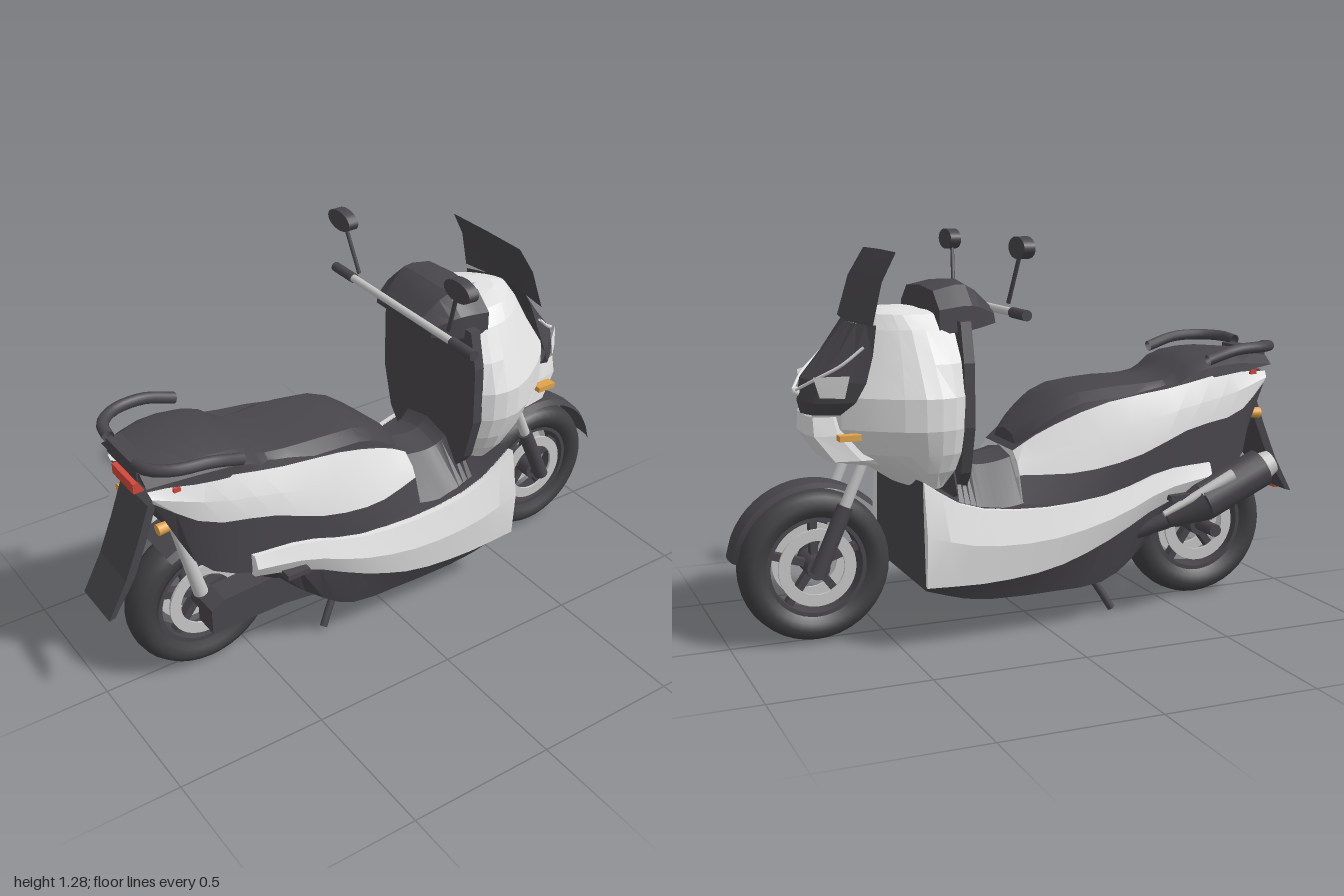
import * as THREE from 'three';
import { toCreasedNormals } from 'three/addons/utils/BufferGeometryUtils.js';

const mat = (name, color) => Object.assign(new THREE.MeshStandardMaterial({ color, side: THREE.DoubleSide }), { name });
const dark = mat('dark plastic', 0x48464b), silver = mat('silver paint', 0xe2e2e2);
const rubber = mat('tyre rubber', 0x403f42), chrome = mat('brushed metal', 0xc8c8c8);
const lamp = mat('lamp lens', 0xffffff), amber = mat('amber lens', 0xdfa24a), red = mat('red lens', 0xd0483c);

const V = p => new THREE.Vector3(...p);

export function createModel() {
  const root = new THREE.Group();
  const add = (name, geo, material, parent = root) => {
    const m = new THREE.Mesh(geo, material);
    m.name = name;
    parent.add(m);
    return m;
  };

  // Surface through a set of curves on the +z half, mirrored to -z
  function skin(name, curves, material, { n = 12, cap = false, crease = 0.3 } = {}) {
    const rows = curves.map(c => {
      const path = new THREE.CatmullRomCurve3(c.map(V), false, 'centripetal');
      return Array.from({ length: n + 1 }, (_, i) => path.getPoint(i / n));
    });
    const pos = [];
    const tri = (a, b, c) => {
      for (const p of [a, b, c]) pos.push(p.x, p.y, p.z);
      for (const p of [a, c, b]) pos.push(p.x, p.y, -p.z);
    };
    for (let r = 0; r + 1 < rows.length; r++) for (let i = 0; i < n; i++) {
      const [a, b, c, d] = [rows[r][i], rows[r + 1][i], rows[r + 1][i + 1], rows[r][i + 1]];
      tri(a, b, c);
      tri(a, c, d);
    }
    if (cap) for (let r = 1; r + 1 < rows.length; r++) {
      tri(rows[0][0], rows[r + 1][0], rows[r][0]);
      tri(rows[0][n], rows[r][n], rows[r + 1][n]);
    }
    const g = new THREE.BufferGeometry();
    g.setAttribute('position', new THREE.Float32BufferAttribute(pos, 3));
    return add(name, toCreasedNormals(g, crease), material);
  }
  const tube = (name, pts, r, material) => add(name,
    new THREE.TubeGeometry(new THREE.CatmullRomCurve3(pts.map(V)), 14, r, 10), material);
  function rod(name, a, b, r1, r2, material, sides = 14) {
    const A = V(a), B = V(b), d = B.clone().sub(A);
    const m = add(name, new THREE.CylinderGeometry(r2, r1, d.length(), sides), material);
    m.position.copy(A).add(B).multiplyScalar(0.5);
    m.quaternion.setFromUnitVectors(new THREE.Vector3(0, 1, 0), d.normalize());
    return m;
  }
  const box = (name, size, at, material) => add(name, new THREE.BoxGeometry(...size).translate(...at), material);
  // Side-profile plate extruded along z
  function plate(name, pts, z0, z1, material) {
    const g = new THREE.ExtrudeGeometry(new THREE.Shape(pts.map(p => new THREE.Vector2(...p))), { depth: z1 - z0, bevelEnabled: false });
    return add(name, g.translate(0, 0, z0), material);
  }

  // Wheels: tyre, rim, spokes, hub and brake discs
  function wheel(name, x, y, s) {
    const w = new THREE.Group();
    w.name = name;
    const lathe = pts => new THREE.LatheGeometry(pts.map(p => new THREE.Vector2(...p)), 40).rotateX(Math.PI / 2);
    add('tyre', lathe([[.165, -.045], [.185, -.06], [.21, -.066], [.234, -.052], [.247, -.025], [.25, 0], [.247, .025],
      [.234, .052], [.21, .066], [.185, .06], [.165, .045], [.165, -.045]]), rubber, w);
    add('rim', toCreasedNormals(lathe([[.152, -.045], [.168, -.045], [.168, .045], [.152, .045], [.152, -.045]]), .5), dark, w);
    add('hub', new THREE.CylinderGeometry(.038, .038, .13, 16).rotateX(Math.PI / 2), dark, w);
    for (let i = 0; i < 5; i++)
      add('spoke', new THREE.BoxGeometry(.13, .024, .035).translate(.095, 0, 0).rotateZ(i * Math.PI * .4 + .3), dark, w);
    const ring = new THREE.Shape().absarc(0, 0, .128, 0, Math.PI * 2);
    ring.holes.push(new THREE.Path().absarc(0, 0, .09, 0, Math.PI * 2, true));
    for (const z of [-.052, .044])
      add('brakeDisc', new THREE.ExtrudeGeometry(ring, { depth: .008, bevelEnabled: false, curveSegments: 24 }).translate(0, 0, z), chrome, w);
    w.scale.set(s, s, 1);
    w.position.set(x, y, 0);
    root.add(w);
  }
  wheel('frontWheel', .725, .25, .98);
  wheel('rearWheel', -.645, .26, 1.03);

  // Mudguards, swept arcs around the wheels
  const arc = (x, r, z, a0, a1) => Array.from({ length: 9 }, (_, i) => {
    const a = a0 + (a1 - a0) * i / 8;
    return [x + r * Math.cos(a), .255 + r * Math.sin(a), z];
  });
  skin('frontMudguard', [[.272, 0], [.268, .045], [.256, .068]].map(([r, z]) => arc(.728, r, z, .14, 2.35)), dark, { n: 18 });
  skin('rearInnerMudguard', [[.285, 0], [.285, .085], [.265, .1]].map(([r, z]) => arc(-.645, r, z, .4, 2.1)), dark, { n: 12 });

  // Tail body: silver upper panels over dark lower panels
  const upperTop = [[-.85, .8, .13], [-.65, .81, .19], [-.45, .775, .2], [-.2, .735, .19], [0, .65, .145], [.09, .59, .12]];
  const upperLow = [[-.84, .76, .14], [-.7, .675, .205], [-.5, .64, .24], [-.3, .565, .25], [-.1, .525, .235], [.09, .52, .18]];
  const lowerLow = [[-.8, .68, .12], [-.72, .51, .19], [-.57, .45, .235], [-.3, .44, .25], [-.1, .43, .25], [.09, .43, .21]];
  const flat = (c, z, dy = 0) => c.map(p => [p[0], p[1] + dy, z]);
  skin('tailSidePanels', [upperTop, upperTop.map((p, i) => [
    (p[0] + upperLow[i][0]) / 2, (p[1] + upperLow[i][1]) / 2, (p[2] + upperLow[i][2]) / 2 + .012]), upperLow], silver);
  skin('tailLowerBody', [upperLow, lowerLow, flat(lowerLow, 0, .02), flat(upperTop, 0), upperTop], dark);
  skin('tailFrontFace', [[[.09, .59, 0], [.09, .59, .12]], [[.09, .43, 0], [.09, .52, .18]]], silver, { n: 1 });

  // Lower silver side panels and dark belly
  const sillTop = [[-.57, .52, .25], [-.4, .51, .265], [-.2, .45, .27], [.05, .425, .27], [.3, .455, .265], [.44, .54, .26]];
  const sillLow = [[-.57, .44, .245], [-.38, .395, .26], [-.2, .308, .275], [0, .235, .282], [.22, .208, .283], [.44, .212, .28]];
  const sillMid = sillTop.map((p, i) => [(p[0] + sillLow[i][0]) / 2, (p[1] + sillLow[i][1]) / 2, (p[2] + sillLow[i][2]) / 2 + .02]);
  const inset = (c, d) => c.map(p => [p[0] - .003, p[1], p[2] - d]);
  skin('sillPanels', [sillTop, sillMid, sillLow, inset(sillLow, .022), inset(sillTop, .022), sillTop], silver, { cap: true });
  const keel = [[-.5, .37, .12], [-.33, .23, .2], [-.2, .15, .22], [0, .135, .225], [.27, .145, .235], [.434, .195, .25]];
  skin('belly', [flat(inset(sillTop, 0), 0, -.02), inset(sillTop, .02), inset(sillLow, .015), keel, flat(keel, 0)], dark, { cap: true });
  skin('floorTunnel', [[[.05, .6, 0], [.14, .575, 0], [.23, .575, 0], [.31, .66, 0]],
    [[.05, .58, .1], [.14, .555, .1], [.23, .555, .1], [.31, .63, .12]],
    [[.05, .44, .2], [.14, .43, .22], [.23, .43, .22], [.31, .44, .22]]], dark);

  // Seat with a raised rear step
  const seatX = [-.86, -.7, -.55, -.46, -.3, -.1, .02, .07];
  const seatTop = [.865, .88, .86, .805, .795, .77, .69, .645];
  const seatLow = [.825, .81, .79, .765, .74, .705, .64, .6];
  const seatZ = [.15, .19, .19, .17, .185, .17, .13, .09];
  const seatRow = (y, k, dy) => seatX.map((x, i) => [x, y[i] + dy, seatZ[i] * k]);
  skin('seat', [seatRow(seatTop, 0, 0), seatRow(seatTop, .75, -.012), seatRow(seatTop, 1, -.04),
    seatRow(seatLow, 1.02, 0), seatRow(seatLow, 0, 0)], dark, { n: 16, cap: true, crease: .45 });

  // Front cowl: horizontal rings [y, back x, back z, wide x, half width, front x]
  const cowl = [[.5, .34, .15, .38, .18, .46], [.56, .31, .19, .4, .225, .55], [.62, .3, .22, .4, .255, .66], [.7, .295, .24, .41, .28, .71],
    [.8, .295, .245, .41, .28, .71], [.9, .295, .22, .42, .235, .65], [1, .305, .175, .43, .18, .6],
    [1.045, .34, .13, .45, .135, .57], [1.06, .4, .05, .47, .06, .52], [1.062, .44, .002, .45, .003, .46]];
  skin('frontCowl', cowl.map(([y, xb, zb, xm, w, xf]) =>
    [[xb, y, 0], [xb, y, zb], [xm, y, w], [xm + .55 * (xf - xm), y, .7 * w], [xf - .01, y, .25 * w], [xf, y, 0]]), silver, { n: 14, crease: .15 });
  skin('noseBeak', [[[.75, .738, 0], [.74, .738, .095], [.6, .738, .11]], [[.755, .68, 0], [.74, .68, .108], [.58, .68, .125]],
    [[.7, .6, 0], [.68, .6, .125], [.5, .6, .135]], [[.61, .565, 0], [.62, .585, .1], [.48, .56, .11]]], silver, { n: 4, crease: .15 });

  // Dark face mask, headlights and trim
  skin('faceMask', [[[.605, 1.02, 0], [.595, 1.02, .09], [.555, 1.02, .17]], [[.685, .93, 0], [.655, .93, .1], [.575, .93, .195]],
    [[.755, .85, 0], [.715, .85, .1], [.6, .85, .205]], [[.765, .78, 0], [.735, .78, .09], [.63, .79, .19]],
    [[.755, .74, 0], [.73, .74, .07], [.66, .745, .125]], [[.7, .74, 0], [.66, .74, .05], [.6, .745, .1]]], dark, { n: 4, crease: .15 });
  skin('headlights', [[[.737, .862, .1], [.645, .872, .185]], [[.722, .8, .12], [.66, .804, .18]]], lamp, { n: 1 });
  add('noseBadge', new THREE.SphereGeometry(.015, 10, 8), lamp).position.set(.765, .807, 0);

  // Windscreen
  skin('windscreen', [[[.49, 1.24, 0], [.49, 1.238, .172]], [[.545, 1.15, 0], [.54, 1.15, .185]], [[.605, 1.02, 0], [.575, 1.02, .2]]], dark, { n: 2 });

  // Leg shield and dashboard
  const shield = [[.14, .46], [.21, .55], [.25, .7], [.248, .9], [.218, 1.025]];
  const outline = [...shield, ...shield.map(([z, y]) => [-z, y]).reverse()];
  const legShield = plate('legShield', outline, 0, .035, dark);
  legShield.rotation.y = Math.PI / 2;
  legShield.position.x = .267;
  skin('dashboard', [[[.15, 1.06, 0], [.24, 1.14, 0], [.36, 1.125, 0]], [[.155, 1.055, .1], [.25, 1.13, .12], [.36, 1.115, .13]],
    [[.165, 1.04, .15], [.25, 1.07, .185], [.36, 1.06, .19]], [[.16, 1.01, .15], [.25, .995, .185], [.36, .985, .19]],
    [[.16, 1.01, 0], [.25, .995, 0], [.36, .985, 0]]], dark, { n: 6, cap: true });

  // Steering, lights, suspension and other paired parts
  rod('handlebar', [.15, 1.053, -.3], [.15, 1.053, .3], .013, .013, chrome);
  for (const s of [1, -1]) {
    rod('grip', [.15, 1.053, s * .27], [.15, 1.053, s * .38], .017, .017, dark);
    rod('mirrorStem', [.155, 1.08, s * .245], [.14, 1.22, s * .295], .007, .007, dark, 8);
    const mirror = add('mirror', new THREE.CylinderGeometry(1, 1, .036, 20).rotateZ(Math.PI / 2), dark);
    mirror.scale.set(1, .034, .063);
    mirror.position.set(.14, 1.252, s * .317);
    tube('maskTrim', [[.597, .955, s * .172], [.66, .9, s * .145], [.725, .855, s * .09], [.77, .815, s * .018]], .005, silver);
    box('frontIndicator', [.07, .018, .036], [.645, .681, s * .165], amber);
    rod('forkTube', [.565, .63, s * .09], [.66, .41, s * .09], .018, .018, chrome);
    rod('forkLeg', [.642, .45, s * .09], [.735, .24, s * .09], .026, .026, dark);
    rod('rearShock', [-.775, .66, s * .125], [-.7, .36, s * .125], .017, .024, chrome);
    rod('rearIndicator', [-.83, .655, s * .13], [-.79, .657, s * .13], .019, .017, amber);
    box('rearSideLamp', [.022, .014, .01], [-.775, .805, s * .172], red);
    tube('grabRail', [[-.86, .882, s * .09], [-.85, .89, s * .15], [-.79, .894, s * .2], [-.68, .89, s * .217], [-.575, .86, s * .212]], .019, dark);
    tube('centreStandLeg', [[-.17, .16, s * .115], [-.21, .11, s * .125], [-.26, .025, s * .145]], .013, dark);
    box('footPeg', [.08, .018, .04], [-.44, .422, s * .275], dark);
  }

  // Tail lamp, rear mudflap and reflector
  box('tailLamp', [.035, .035, .14], [-.85, .782, 0], red);
  box('tailBridge', [.05, .05, .2], [-.84, .85, 0], dark);
  const flap = [[-.835, .72], [-.88, .6], [-.93, .48], [-.998, .355], [-.978, .36], [-.9, .48], [-.85, .6], [-.8, .74]];
  plate('rearMudflap', flap, -.09, .09, dark);
  box('rearReflector', [.014, .008, .04], [-.983, .357, 0], red);

  // Engine and drive case on the left, axles through both sides
  plate('driveCase', [[-.69, .215], [-.69, .305], [-.64, .33], [-.4, .345], [-.25, .36], [-.22, .17], [-.3, .2], [-.42, .215]], .08, .17, dark);
  plate('engineBlock', [[-.45, .3], [-.45, .42], [-.2, .42], [-.2, .18], [-.3, .2]], -.15, .08, dark);
  rod('rearAxle', [-.645, .26, -.17], [-.645, .26, .17], .022, .022, dark);
  rod('frontAxle', [.725, .25, -.1], [.725, .25, .1], .018, .018, dark);

  // Exhaust on the right
  rod('exhaustPipe', [-.2, .25, -.16], [-.41, .34, -.25], .02, .028, dark);
  rod('exhaustNose', [-.41, .34, -.25], [-.53, .395, -.268], .028, .068, dark);
  rod('exhaustCan', [-.53, .395, -.268], [-.75, .495, -.275], .068, .066, dark);
  rod('exhaustCap', [-.75, .495, -.275], [-.79, .513, -.277], .05, .04, chrome);
  rod('exhaustHeatShield', [-.38, .37, -.283], [-.62, .49, -.316], .01, .02, chrome, 10);

  return root;
}
